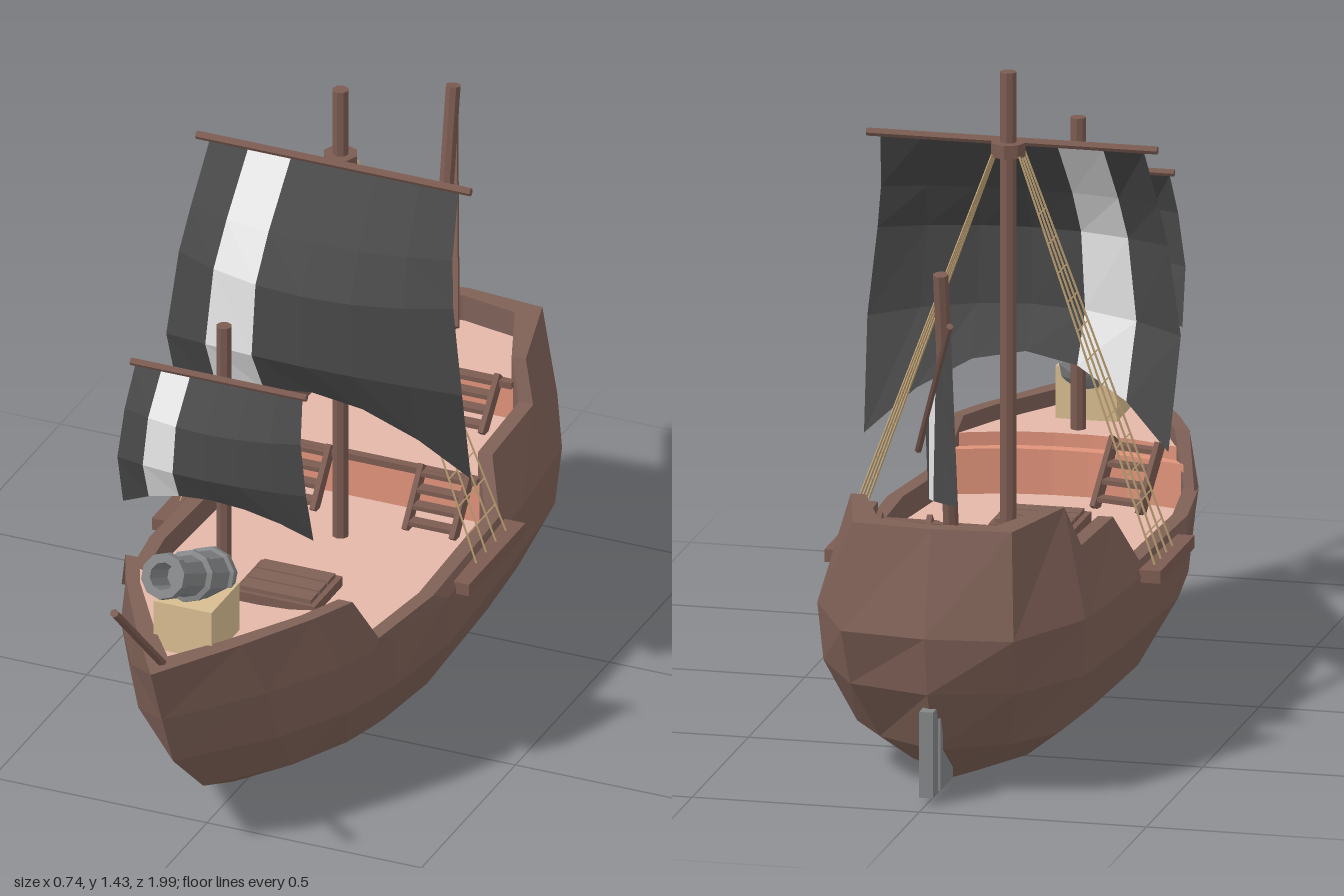
import * as THREE from 'three';

const mat = (name, color, side = THREE.FrontSide) => {
  const m = new THREE.MeshStandardMaterial({ color, flatShading: true, side });
  m.name = name;
  return m;
};
const V = (x, y, z) => new THREE.Vector3(x, y, z);

export function createModel() {
  const ship = new THREE.Group();
  ship.name = 'ship';
  const hullBrown = mat('hullBrown', 0x7f6157, THREE.DoubleSide);
  const timber = mat('darkTimber', 0x7c5c52);
  const deckPink = mat('deckPlank', 0xe4b7a9);
  const bulkhead = mat('bulkheadOrange', 0xe0937a);
  const cloth = mat('blackCloth', 0x494949, THREE.DoubleSide);
  const paleCloth = mat('paleStripe', 0xe6e6e6, THREE.DoubleSide);
  const metal = mat('metal', 0x848687, THREE.DoubleSide);
  const rope = mat('rope', 0xc4a678);
  const tan = mat('tanWood', 0xd8bd90);

  const add = (name, geo, material, parent = ship) => {
    const m = new THREE.Mesh(geo, material);
    m.name = name;
    parent.add(m);
    return m;
  };
  const box = (name, w, h, d, x, y, z, material, parent) => {
    const m = add(name, new THREE.BoxGeometry(w, h, d), material, parent);
    m.position.set(x, y, z);
    return m;
  };
  const rod = (name, a, b, r, material, sides = 8, parent = ship) => {
    const m = add(name, new THREE.CylinderGeometry(r, r, a.distanceTo(b), sides), material, parent);
    m.position.copy(a).add(b).multiplyScalar(0.5);
    m.quaternion.setFromUnitVectors(V(0, 1, 0), b.clone().sub(a).normalize());
    return m;
  };

  // Hull: stacked waterlines, then over the rail and down the inside
  const zs = [0.8, 0.6, 0.43, 0.33, 0.27, 0.05, -0.33, -0.39, -0.63, -0.66, -0.885, -0.9];
  const plan = [0, 0.13, 0.24, 0.28, 0.3, 0.342, 0.325, 0.322, 0.3, 0.295, 0.19, 0];
  const railX = [0, 0.125, 0.22, 0.265, 0.3, 0.33, 0.318, 0.275, 0.265, 0.235, 0.175, 0];
  const railY = [0.51, 0.51, 0.51, 0.51, 0.4, 0.4, 0.4, 0.51, 0.51, 0.6, 0.6, 0.6];
  const innerX = railX.map((x, i) => Math.max(0, x - (i === 1 || i === 10 ? 0.045 : 0.033)));
  const innerZ = zs.map((z, i) => (i === 0 ? 0.71 : i === 10 ? -0.84 : i === 11 ? -0.865 : z));
  const ring = (f) => {
    const half = zs.map((_, i) => f(i));
    return [...half, ...half.slice(1, -1).reverse().map(([x, y, z]) => [-x, y, z])];
  };
  const levels = [ // height, half width, bow z, stern z, bow fullness, stern corner setback
    [0, 0.06, 0.28, -0.71, 0.6, 0.05], [0.03, 0.16, 0.36, -0.76, 0.6, 0.06], [0.1, 0.255, 0.52, -0.86, 0.65, 0.07],
    [0.24, 0.33, 0.68, -0.93, 0.72, 0.04], [0.37, 0.342, 0.74, -0.955, 0.8, 0.01],
  ];
  const rings = levels.map(([y, hw, zb, zk, full, setback]) => ring((i) => {
    const w = plan[i] / 0.342;
    return [hw * (i < 5 ? w ** full : w), y, zk + (zs[i] + 0.9) / 1.7 * (zb - zk) + (i === 10 ? setback : 0)];
  }));
  rings.push(ring((i) => [railX[i], railY[i], zs[i]]));
  rings.push(ring((i) => [innerX[i], railY[i], innerZ[i]]));
  rings.push(ring((i) => [innerX[i], i < 3 ? 0.42 : 0.34, innerZ[i]]));
  const n = rings[0].length;
  const hullGeo = new THREE.BufferGeometry();
  const idx = [];
  for (let r = 0; r < rings.length - 1; r++) {
    for (let i = 0; i < n; i++) {
      const a = r * n + i, b = r * n + (i + 1) % n;
      idx.push(a, b, b + n, a, b + n, a + n);
    }
  }
  for (let i = 1; i < n - 1; i++) idx.push(0, i + 1, i);
  hullGeo.setAttribute('position', new THREE.Float32BufferAttribute(rings.flat(2), 3));
  hullGeo.setIndex(idx);
  hullGeo.computeVertexNormals();
  add('hull', hullGeo, hullBrown);

  // Decks: inner outline cut between two z values, sides forming bulkheads
  const widthAt = (z) => {
    for (let i = 0; i < 11; i++) {
      if (z <= innerZ[i] && z >= innerZ[i + 1]) {
        const t = (innerZ[i] - z) / (innerZ[i] - innerZ[i + 1]);
        return innerX[i] + t * (innerX[i + 1] - innerX[i]) + 0.004;
      }
    }
    return 0.01;
  };
  const deck = (name, zBow, zStern, y, depth, top = deckPink, sternEdge = []) => {
    const list = [zBow, ...innerZ.filter((z) => z < zBow && z > zStern), zStern];
    const right = [...list.map((z) => [widthAt(z), z]), ...sternEdge];
    const pts = [...right, ...right.slice().reverse().map(([x, z]) => [-x, z])];
    const shape = new THREE.Shape(pts.map(([x, z]) => new THREE.Vector2(x, -z)));
    const geo = new THREE.ExtrudeGeometry(shape, { depth, bevelEnabled: false });
    geo.rotateX(-Math.PI / 2).translate(0, y - depth, 0);
    add(name, geo, [top, bulkhead]);
  };
  deck('mainDeck', 0.4, -0.39, 0.345, 0.004);
  deck('foreDeck', 0.7, 0.315, 0.475, 0.04, deckPink, [[0.13, 0.355], [0.04, 0.365]]);
  deck('foreBulkhead', 0.4, 0.285, 0.445, 0.1, bulkhead, [[0.13, 0.325], [0.04, 0.335]]);
  deck('quarterDeck', -0.38, -0.67, 0.45, 0.11);
  deck('sternDeck', -0.655, -0.864, 0.54, 0.09);
  box('quarterDeckBeam', 0.5, 0.015, 0.02, 0, 0.447, -0.375, timber);
  box('sternDeckBeam', 0.42, 0.015, 0.02, 0, 0.537, -0.65, timber);

  // Stairs
  const stairs = (x, z, y0, y1, rot) => {
    const g = new THREE.Group();
    g.name = 'stairs';
    const h = y1 - y0, run = 0.09;
    for (const s of [-1, 1]) {
      const rail = box('stringer', 0.012, 0.03, Math.hypot(h, run), s * 0.055, h / 2, 0, timber, g);
      rail.rotation.x = Math.atan2(h, run);
    }
    for (let i = 0; i < 4; i++) {
      const t = (i + 0.6) / 4;
      box('step', 0.11, 0.01, 0.028, 0, h * t, run * (0.5 - t), timber, g);
    }
    g.position.set(x, y0, z);
    g.rotation.y = rot;
    ship.add(g);
  };
  stairs(-0.15, -0.33, 0.345, 0.46, 0);
  stairs(0.175, -0.33, 0.345, 0.46, 0);
  stairs(0.12, -0.61, 0.45, 0.55, 0);
  stairs(-0.14, 0.28, 0.345, 0.48, Math.PI - 0.25);

  // Cargo hatch
  box('hatchFrame', 0.19, 0.025, 0.15, 0, 0.355, 0.07, timber);
  for (let i = 0; i < 3; i++) box('hatchPlank', 0.165, 0.012, 0.04, 0, 0.371, 0.025 + i * 0.045, hullBrown);

  // Masts, yards and bowsprit
  rod('mainMast', V(0, 0.34, -0.21), V(0, 1.43, -0.21), 0.018, timber);
  rod('mainMastCollar', V(0, 1.245, -0.21), V(0, 1.275, -0.21), 0.038, timber);
  rod('mainYard', V(-0.32, 1.267, -0.175), V(0.32, 1.267, -0.175), 0.009, timber, 6);
  rod('foreMast', V(0, 0.45, 0.41), V(0, 1.165, 0.41), 0.017, timber);
  rod('foreYard', V(-0.205, 1.047, 0.437), V(0.205, 1.047, 0.437), 0.008, timber, 6);
  rod('rearMast', V(0, 0.54, -0.715), V(0, 1.14, -0.81), 0.017, timber);
  rod('rearYard', V(0.105, 0.685, -0.585), V(-0.05, 1.06, -0.93), 0.008, timber, 6);
  rod('bowsprit', V(0, 0.5, 0.73), V(0, 0.757, 0.993), 0.01, timber, 6);

  // Sails: a grid of points, one column being the pale stripe
  const sail = (name, cols, rows, stripe, point) => {
    const build = (keep) => {
      const pos = [];
      for (let c = 0; c < cols.length - 1; c++) {
        if (!keep(c)) continue;
        for (let r = 0; r < rows - 1; r++) {
          const a = point(cols[c], r), b = point(cols[c], r + 1);
          const d = point(cols[c + 1], r + 1), e = point(cols[c + 1], r);
          pos.push(...a, ...b, ...d, ...a, ...d, ...e);
        }
      }
      const geo = new THREE.BufferGeometry();
      geo.setAttribute('position', new THREE.Float32BufferAttribute(pos, 3));
      geo.computeVertexNormals();
      return geo;
    };
    add(name, build((c) => c !== stripe), cloth);
    add(name + 'Stripe', build((c) => c === stripe), paleCloth);
  };
  const squareSail = (name, rows) => sail(name, [-1, -0.69, -0.345, 0, 0.345, 0.69, 1], rows.length, 1, (u, r) => {
    const [y, hw, z, belly, lift] = rows[r], k = 1 - u * u;
    return [u * hw, y + lift * k, z + belly * k];
  });
  squareSail('mainSail', [ // edge height, half width, edge z, belly, arch
    [1.26, 0.29, -0.175, 0, 0], [1.13, 0.305, -0.11, 0.05, 0], [1.03, 0.32, -0.08, 0.08, 0],
    [0.83, 0.345, -0.07, 0.07, 0.03], [0.59, 0.335, -0.14, 0.085, 0.18],
  ]);
  squareSail('foreSail', [
    [1.04, 0.195, 0.437, 0, 0], [0.95, 0.205, 0.47, 0.04, 0],
    [0.83, 0.22, 0.475, 0.04, 0.01], [0.705, 0.222, 0.44, 0.04, 0.07],
  ]);
  sail('rearSail', [0, 0.13, 0.39, 0.7, 1], 4, 1, (s, r) => {
    const t = r / 3, mix = THREE.MathUtils.lerp;
    const z = mix(mix(-0.645, -0.92, s), mix(-0.675, -0.995, s), t);
    const y = mix(mix(0.75, 1.045, s), mix(0.605, 0.68, s), t);
    return [0.09 + (z + 0.61) * 0.45 + 0.06 * s * (1 - s) * t, y, z];
  });

  // Channels and rope ladders on both sides
  for (const s of [-1, 1]) {
    box('channel', 0.05, 0.028, 0.3, s * 0.345, 0.371, -0.2, timber);
    const foot = (i) => V(s * 0.345, 0.385, -0.145 - i * 0.0525);
    const head = (i) => V(s * 0.03, 1.25, -0.185 - i * 0.0165);
    for (let i = 0; i < 4; i++) rod('shroud', foot(i), head(i), 0.0025, rope, 4);
    for (let k = 1; k < 13; k++) {
      const t = k / 14;
      rod('ratline', foot(0).lerp(head(0), t), foot(3).lerp(head(3), t), 0.002, rope, 4);
    }
  }

  // Bow cannon on its block
  box('cannonBlock', 0.135, 0.13, 0.15, 0, 0.525, 0.555, tan);
  const profile = [[0, -0.02], [0.03, -0.015], [0.055, 0], [0.064, 0.02], [0.064, 0.04], [0.056, 0.045],
    [0.052, 0.13], [0.057, 0.135], [0.057, 0.15], [0.046, 0.155], [0.04, 0.25], [0.052, 0.275],
    [0.05, 0.3], [0.03, 0.3], [0.028, 0.2], [0, 0.2]].map(([x, y]) => new THREE.Vector2(x, y));
  const cannon = add('cannon', new THREE.LatheGeometry(profile, 10), metal);
  cannon.position.set(0, 0.585, 0.467);
  cannon.rotation.x = Math.PI / 2 - 0.46;

  // Rudder
  const blade = new THREE.Shape([[0.94, 0.015], [0.94, 0.205], [0.9, 0.205], [0.76, 0.05], [0.76, 0.015]]
    .map(([a, y]) => new THREE.Vector2(a, y)));
  const rudderGeo = new THREE.ExtrudeGeometry(blade, { depth: 0.03, bevelEnabled: false });
  rudderGeo.rotateY(Math.PI / 2).translate(-0.015, 0, 0);
  add('rudder', rudderGeo, metal);
  box('rudderPost', 0.042, 0.18, 0.02, 0, 0.11, -0.885, metal);
  return ship;
}
